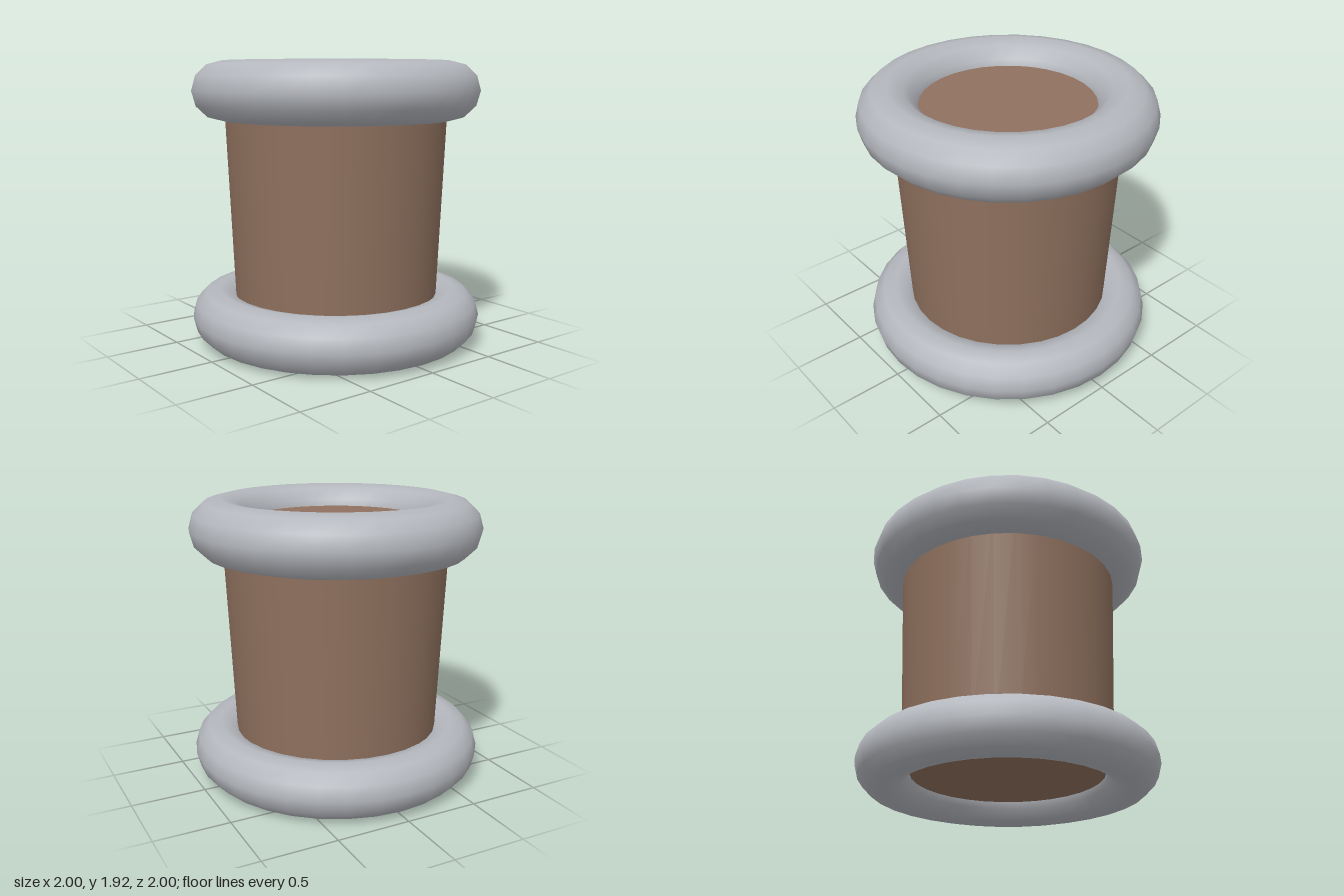
import * as THREE from 'three';

export function createModel() {
  const model = new THREE.Group();
  model.name = 'spool';

  const grey = new THREE.MeshStandardMaterial({ color: 0xb4b7bd });
  grey.name = 'pale grey';
  const brown = new THREE.MeshStandardMaterial({ color: 0x8f715e });
  brown.name = 'warm brown';

  // Rounded ring lying flat; height is set separately from the tube width
  function addRing(name, radius, tube, height, y) {
    const geometry = new THREE.TorusGeometry(radius, tube, 12, 32);
    geometry.rotateX(-Math.PI / 2);
    geometry.scale(1, height / (2 * tube), 1);
    const ring = new THREE.Mesh(geometry, grey);
    ring.name = name;
    ring.position.y = y;
    model.add(ring);
  }

  // Tapered core, closed at both ends inside the rings
  const bottom = 0.14, top = 1.78;
  const core = new THREE.Mesh(
    new THREE.CylinderGeometry(0.768, 0.695, top - bottom, 32), brown);
  core.name = 'core';
  core.position.y = (top + bottom) / 2;
  model.add(core);

  addRing('topRing', 0.773, 0.207, 0.4, 1.725);
  addRing('bottomRing', 0.816, 0.184, 0.368, 0.184);

  return model;
}
